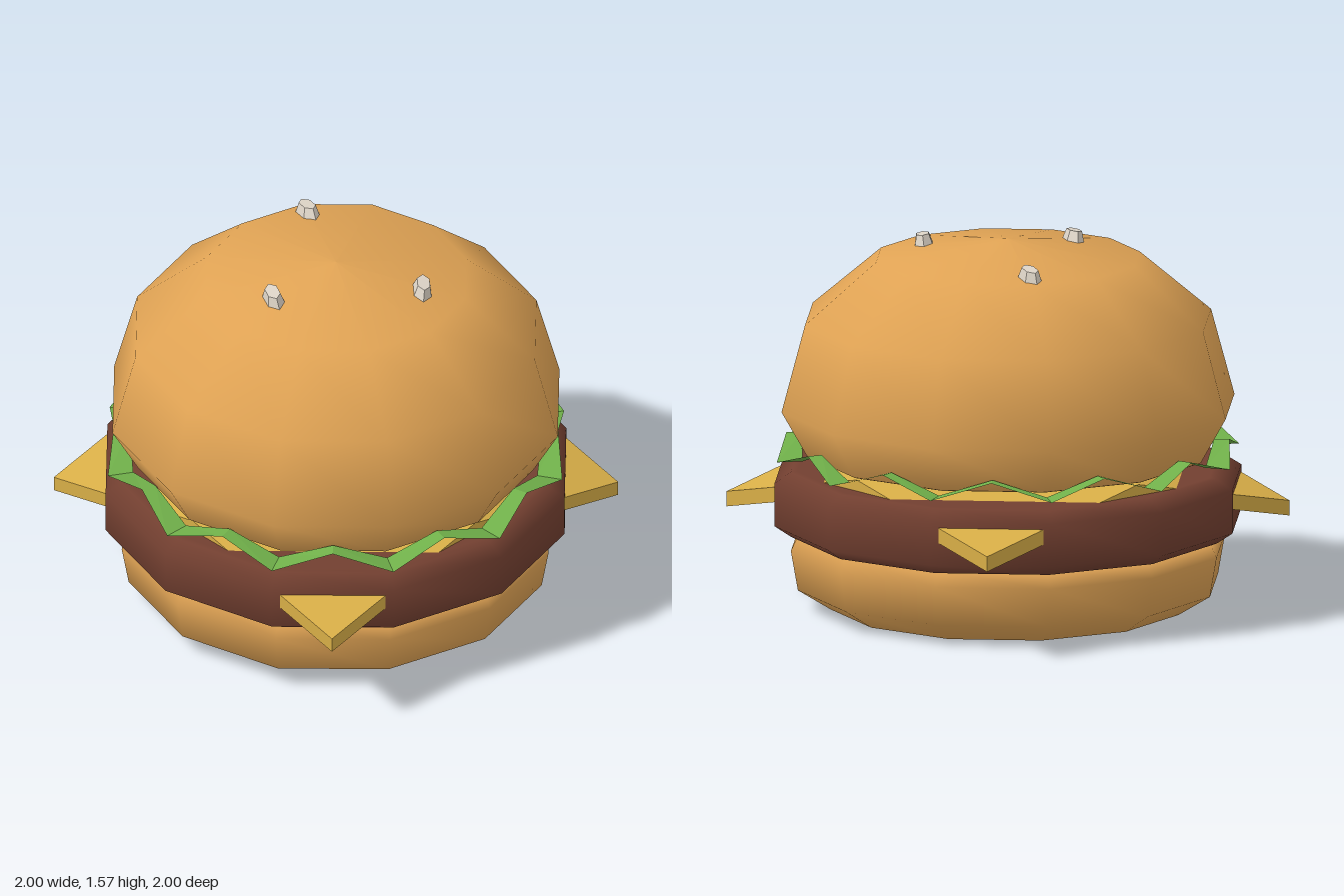
import * as THREE from 'three';

const material = (name, color, extra = {}) => {
  const m = new THREE.MeshStandardMaterial({ color, ...extra });
  m.name = name;
  return m;
};

// Non-indexed flat-faced geometry from a list of quads and triangles
function facets(faces) {
  const pos = [];
  for (const f of faces)
    for (let i = 1; i < f.length - 1; i++) pos.push(...f[0], ...f[i], ...f[i + 1]);
  const g = new THREE.BufferGeometry();
  g.setAttribute('position', new THREE.Float32BufferAttribute(pos, 3));
  g.computeVertexNormals();
  return g;
}

// Square slice: level diamond in the middle, four corners folded down
function cheeseGeometry() {
  const r = 0.84, top = 0.65, tip = 0.46, thick = 0.065, faces = [];
  for (let q = 0; q < 4; q++) {
    const c = Math.round(Math.cos(q * Math.PI / 2)), s = Math.round(Math.sin(q * Math.PI / 2));
    const p = (x, y, z) => [x * c + z * s, y, z * c - x * s];
    const down = ([x, y, z]) => [x, y - thick, z];
    const o = p(0, top, 0), a = p(r, top, 0), b = p(0, top, r), k = p(r, tip, r);
    faces.push([o, b, a], [a, b, k]);
    faces.push([down(o), down(a), down(b)], [down(a), down(k), down(b)]);
    faces.push([down(k), down(a), a, k], [down(b), down(k), k, b]);
  }
  return facets(faces);
}

// Zigzag frill: low at the twelve corners, high between them
function lettuceGeometry() {
  const faces = [], n = 24;
  const at = (i, low, high) => {
    const a = i * 2 * Math.PI / n, up = i % 2, r = up ? high : low;
    return [r * Math.sin(a), up ? 0.72 : 0.645, r * Math.cos(a)];
  };
  for (let i = 0; i < n; i++) {
    faces.push([at(i, 0.88, 0.87), at(i, 0.99, 0.935), at(i + 1, 0.99, 0.935), at(i + 1, 0.88, 0.87)]);
  }
  return facets(faces);
}

export function createModel() {
  const bun = material('bun', 0xe0a354);
  const meat = material('patty', 0x723f30);
  const cheese = material('cheese', 0xd8ae47);
  const lettuce = material('lettuce', 0x70b04a, { side: THREE.DoubleSide });
  const sesame = material('sesame', 0xdcd3c6, { flatShading: true });

  const group = new THREE.Group();
  group.name = 'burger';
  const add = (name, geometry, mat) => {
    const mesh = new THREE.Mesh(geometry, mat);
    mesh.name = name;
    group.add(mesh);
    return mesh;
  };
  const turned = (profile) =>
    new THREE.LatheGeometry(profile.map(([r, y]) => new THREE.Vector2(r, y)), 12);

  // Round layers, each a twelve-sided profile listed from bottom to top
  add('bottomBun', turned([[0, 0], [0.74, 0], [0.76, 0.002], [0.9, 0.09], [0.93, 0.26], [0.9, 0.325], [0, 0.325]]), bun);
  add('patty', turned([[0, 0.32], [0.91, 0.32], [0.93, 0.322], [1, 0.37], [1, 0.555], [0.93, 0.6], [0.9, 0.602], [0, 0.602]]), meat);
  add('topBun', turned([[0, 0.66], [0.85, 0.66], [0.86, 0.665], [0.97, 0.86], [0.87, 1.23], [0.565, 1.49], [0, 1.57]]), bun);

  add('cheeseSlice', cheeseGeometry(), cheese);
  add('lettuceFrill', lettuceGeometry(), lettuce);

  // Seeds lie on the crown of the bun: x, z, turn
  const seed = new THREE.CylinderGeometry(0.055, 0.078, 0.045, 6);
  seed.rotateY(Math.PI / 2).scale(1, 1, 0.55);
  const up = new THREE.Vector3(0, 1, 0);
  for (const [x, z, turn] of [[-0.42, -0.24, -0.3], [0.35, -0.17, -0.7], [-0.035, 0.335, -0.45]]) {
    const r = Math.hypot(x, z), slope = 0.08 / 0.565;
    const mesh = add('sesameSeed', seed, sesame);
    mesh.position.set(x, 1.57 - slope * r + 0.02, z);
    mesh.quaternion.setFromUnitVectors(up, new THREE.Vector3(x / r * slope, 1, z / r * slope).normalize());
    mesh.rotateY(turn);
  }
  return group;
}
